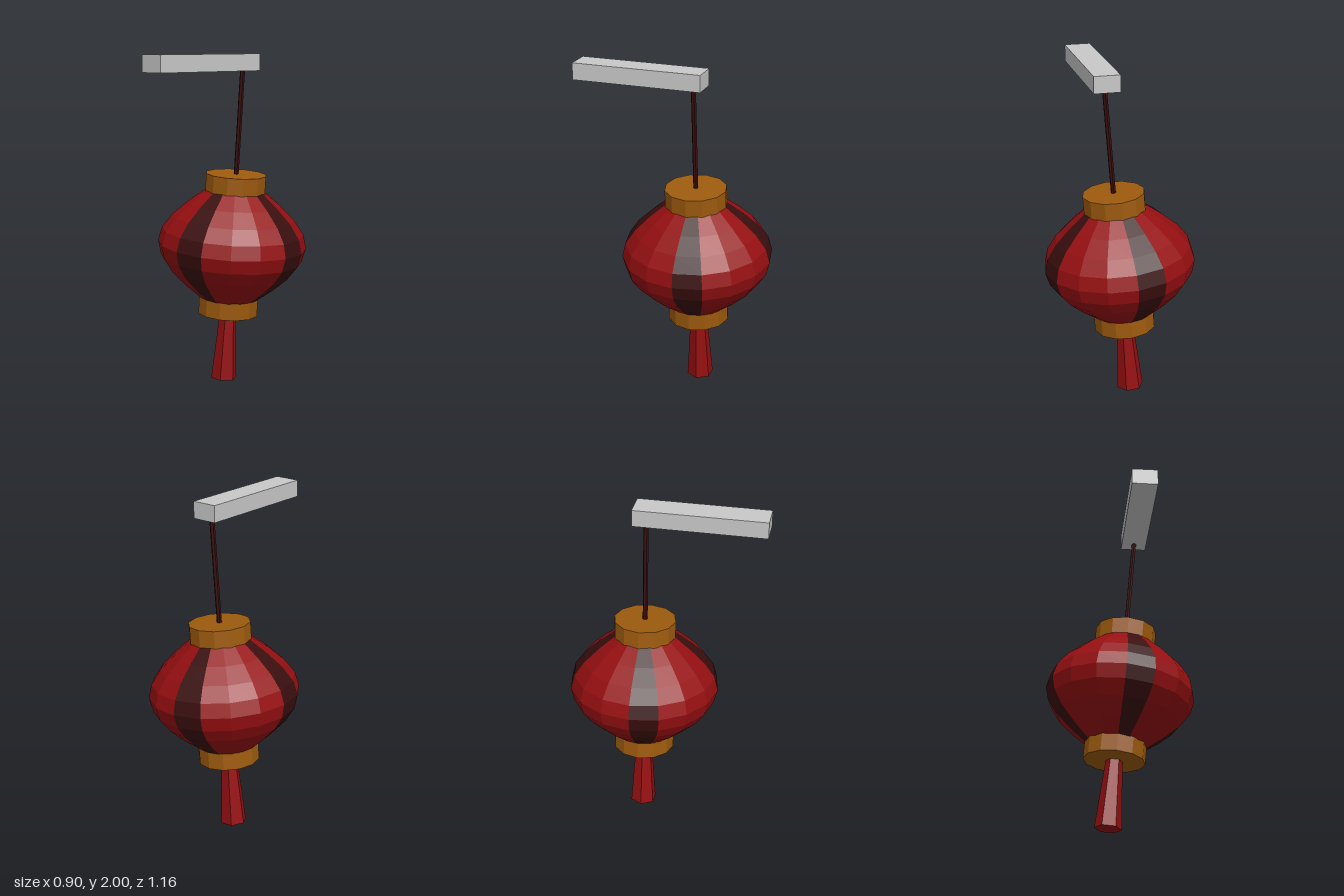
import * as THREE from 'three';

const paint = (name, color) => {
  const m = new THREE.MeshStandardMaterial({ color, flatShading: true });
  m.name = name;
  return m;
};

export function createModel() {
  const red = paint('red paper', 0x960f11);
  const dark = paint('dark ribs', 0x3a0e0e);
  const gold = paint('gold wood', 0x9e5b0e);
  const grey = paint('grey beam', 0xc8c8c8);

  const model = new THREE.Group();
  model.name = 'hangingLantern';

  const add = (parent, name, geometry, material, x = 0, y = 0, z = 0) => {
    const mesh = new THREE.Mesh(geometry, material);
    mesh.name = name;
    mesh.position.set(x, y, z);
    parent.add(mesh);
    return mesh;
  };

  // Beam the lantern hangs from
  add(model, 'beam', new THREE.BoxGeometry(0.155, 0.1, 0.775), grey, 0.086, 1.95, 0.193);

  // Everything below the beam swings about this pivot; y is measured down from it
  const swing = new THREE.Group();
  swing.name = 'swingingLantern';
  swing.position.set(0.09, 1.95, -0.128);
  swing.rotation.z = -0.083;
  model.add(swing);

  add(swing, 'cord', new THREE.CylinderGeometry(0.015, 0.015, 0.66, 6), dark, 0, -0.35);

  // Caps above and below the body
  for (const [name, y] of [['topCap', -0.722], ['bottomCap', -1.482]]) {
    add(swing, name, new THREE.CylinderGeometry(0.185, 0.185, 0.105, 12), gold, 0, y);
  }

  // Bulging body: four red panels of three facets, separated by dark ribs of one facet
  const half = 0.335;
  const profile = [];
  for (let i = 0; i <= 8; i++) {
    const t = i / 8;
    profile.push(new THREE.Vector2(0.175 + 0.275 * Math.sin(Math.PI * t), half * (2 * t - 1)));
  }
  const facet = Math.PI / 8;
  for (let k = 0; k < 4; k++) {
    const start = k * 4 * facet;
    add(swing, 'rib', new THREE.LatheGeometry(profile, 1, start, facet), dark, 0, -1.102);
    add(swing, 'panel', new THREE.LatheGeometry(profile, 3, start + facet, 3 * facet), red, 0, -1.102);
  }

  // Flared six-sided tassel
  add(swing, 'tassel',
    new THREE.CylinderGeometry(0.05, 0.08, 0.42, 6, 1, false, Math.PI / 6), red, 0, -1.74);

  return model;
}
